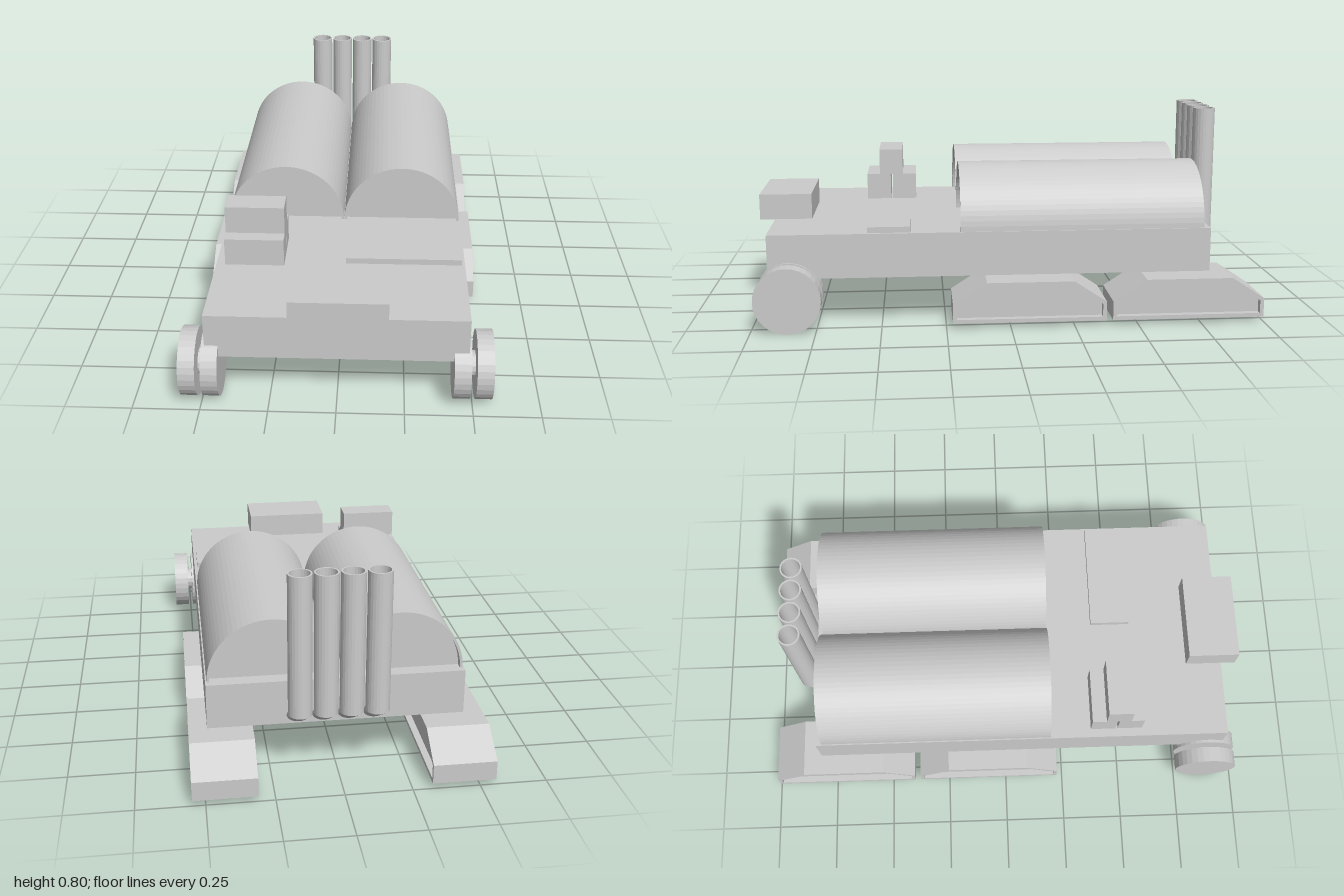
import * as THREE from 'three';

const grey = new THREE.MeshStandardMaterial({ color: 0xcccccc, flatShading: true });
const smooth = new THREE.MeshStandardMaterial({ color: 0xcccccc, side: THREE.DoubleSide });

export function createModel() {
  const model = new THREE.Group();

  const add = (name, geometry, x = 0, y = 0, z = 0, material = grey, parent = model) => {
    const mesh = new THREE.Mesh(geometry, material);
    mesh.name = name;
    mesh.position.set(x, y, z);
    parent.add(mesh);
    return mesh;
  };
  // box given by its limits on each axis
  const box = (name, x0, x1, y0, y1, z0, z1) =>
    add(name, new THREE.BoxGeometry(x1 - x0, y1 - y0, z1 - z0), (x0 + x1) / 2, (y0 + y1) / 2, (z0 + z1) / 2);

  // flat deck and the boxes standing on it
  box('deck', -0.48, 0.48, 0.193, 0.367, -0.795, 0.935);
  box('frontBox', -0.17, 0.187, 0.367, 0.47, 0.785, 0.995);
  box('deckPlate', 0.02, 0.467, 0.367, 0.39, 0.385, 0.55);
  box('lowerCrateRear', -0.445, -0.217, 0.367, 0.477, 0.36, 0.463);
  box('lowerCrateFront', -0.445, -0.217, 0.367, 0.477, 0.472, 0.575);
  box('upperCrate', -0.445, -0.217, 0.477, 0.587, 0.418, 0.52);

  // half-round tanks: thin shell with slightly recessed ends
  const R = 0.237, r = 0.227;
  const shellShape = new THREE.Shape();
  shellShape.absarc(0, 0, R, 0, Math.PI, false);
  shellShape.absarc(0, 0, r, Math.PI, 0, true);
  const coreShape = new THREE.Shape();
  coreShape.absarc(0, 0, r + 0.002, 0, Math.PI, false);
  const extrude = (shape, depth) =>
    new THREE.ExtrudeGeometry(shape, { depth, bevelEnabled: false, curveSegments: 18 });
  for (const x of [-0.238, 0.238]) {
    const tank = new THREE.Group();
    tank.name = 'tank';
    add('tankShell', extrude(shellShape, 0.96), x, 0.366, -0.77, grey, tank);
    add('tankCore', extrude(coreShape, 0.91), x, 0.366, -0.74, grey, tank);
    model.add(tank);
  }

  // row of upright exhaust pipes, hollow at the top, bent into the deck at the foot
  const pr = 0.045, bend = 0.255;
  const pipeProfile = [[pr, 0], [pr, 0.548], [0.038, 0.548], [0.038, 0.02], [0, 0.02]]
    .map(([a, b]) => new THREE.Vector2(a, b));
  const elbow = new THREE.CylinderGeometry(pr, pr, 0.06, 24, 1, true);
  const p = elbow.attributes.position;
  for (let i = 0; i < p.count; i++) {
    if (p.getY(i) > 0) p.setY(i, 0);
    else p.setXYZ(i, p.getX(i), -0.03 + (p.getZ(i) / pr) * 0.03, pr + 0.005);
  }
  elbow.computeVertexNormals();
  for (let i = 0; i < 4; i++) {
    const x = -0.1425 + i * 0.095;
    const pipe = new THREE.Group();
    pipe.name = 'exhaustPipe';
    const tube = new THREE.LatheGeometry(pipeProfile, 24);
    add('pipeTube', tube.toNonIndexed(), x, bend, -0.84, new THREE.MeshStandardMaterial({
      color: 0xcccccc, flatShading: true, side: THREE.DoubleSide }), pipe);
    add('pipeElbow', elbow, x, bend, -0.84, smooth, pipe);
    model.add(pipe);
  }

  // four track units: a framed outline with a recessed web on both sides
  const outer = [[0.3, 0.02], [0.3, 0.095], [0.168, 0.18], [-0.172, 0.18], [-0.3, 0.095], [-0.3, 0.02]];
  const inner = [[0.285, 0.035], [0.285, 0.087], [0.164, 0.167], [-0.168, 0.167], [-0.285, 0.087], [-0.285, 0.035]];
  const toPoints = (list) => list.map(([a, b]) => new THREE.Vector2(a, b));
  const sideExtrude = (shape, width) =>
    extrude(shape, width).translate(0, 0, -width / 2).rotateY(-Math.PI / 2);
  const frameShape = new THREE.Shape(toPoints(outer));
  frameShape.holes.push(new THREE.Path(toPoints(inner)));
  const frame = sideExtrude(frameShape, 0.237);
  const web = sideExtrude(new THREE.Shape(toPoints(inner)), 0.185);
  for (const x of [-0.441, 0.43]) {
    for (const z of [-0.075, -0.7]) {
      const track = new THREE.Group();
      track.name = 'track';
      add('trackFrame', frame, x, 0, z, grey, track);
      add('trackWeb', web, x, 0, z, grey, track);
      model.add(track);
    }
  }

  // twin front wheels, each pair joined by a short axle
  const disc = new THREE.CylinderGeometry(0.129, 0.129, 0.062, 32).rotateZ(Math.PI / 2);
  const axle = new THREE.CylinderGeometry(0.05, 0.05, 0.1, 16).rotateZ(Math.PI / 2);
  for (const [x, z] of [[-0.502, 0.87], [0.499, 0.855]]) {
    const wheels = new THREE.Group();
    wheels.name = 'frontWheels';
    for (const s of [-1, 1]) add('wheel', disc, x + s * 0.041, 0.129, z, grey, wheels);
    add('axle', axle, x, 0.129, z, grey, wheels);
    model.add(wheels);
  }

  return model;
}
